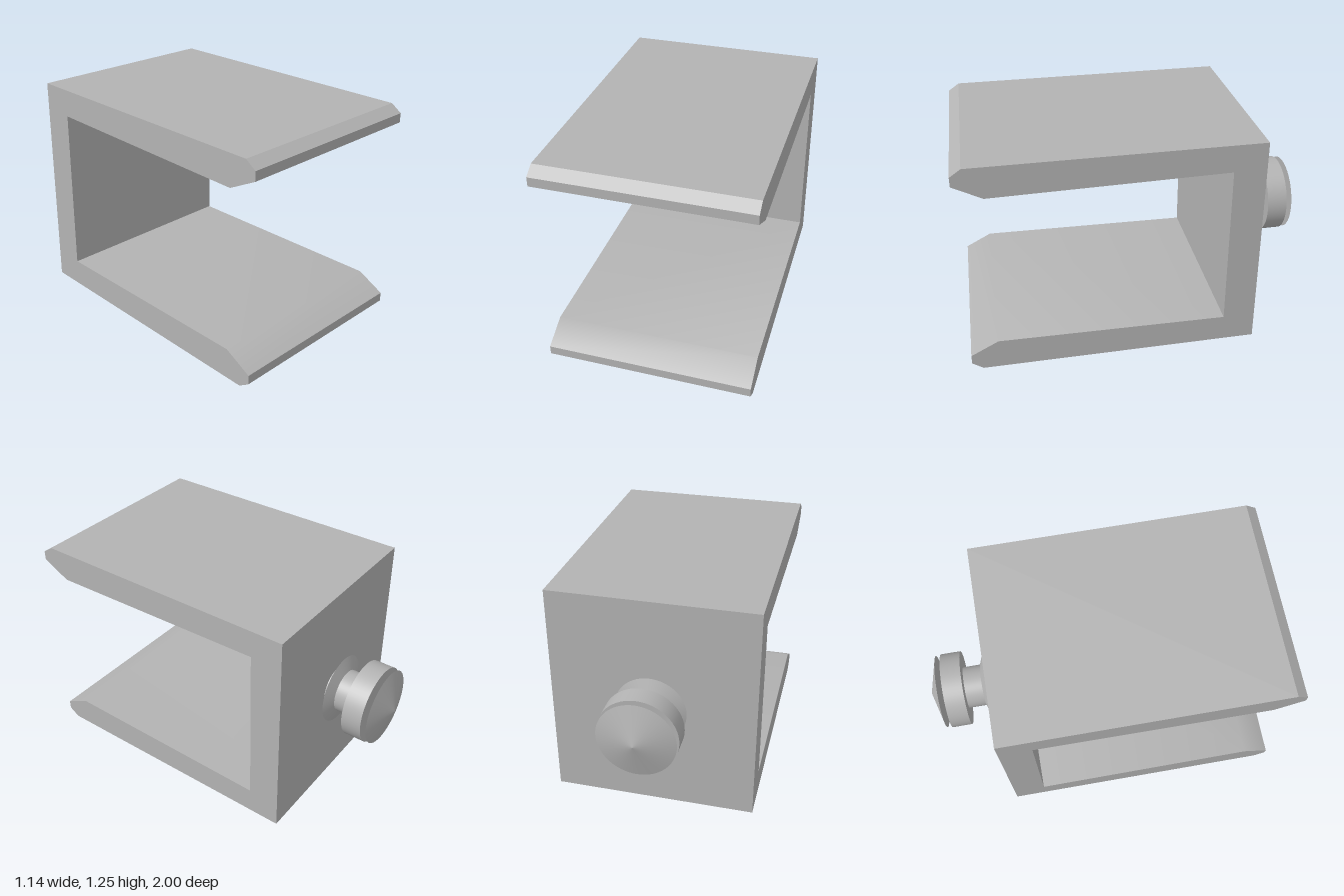
import * as THREE from 'three';
import { toCreasedNormals } from 'three/addons/utils/BufferGeometryUtils.js';

export function createModel() {
  const model = new THREE.Group();
  model.name = 'clampBracket';
  const grey = new THREE.MeshStandardMaterial({ color: 0xb3b3b3 });
  grey.name = 'light grey';

  const add = (name, geometry) => {
    const mesh = new THREE.Mesh(geometry, grey);
    mesh.name = name;
    model.add(mesh);
  };

  // U-shaped jaw: side profile as [z, y], mirrored about the middle height
  const width = 1.138, height = 1.253, axisY = height / 2;
  const lower = [
    [-0.627, 0], [0.94, 0], [1, 0.042], [1, 0.094], [0.845, 0.175], [-0.445, 0.155],
  ];
  const upper = lower.map(([z, y]) => [z, height - y]).reverse();
  const profile = new THREE.Shape([...lower, ...upper].map(([z, y]) => new THREE.Vector2(z, y)));
  const jaw = new THREE.ExtrudeGeometry(profile, { depth: width, bevelEnabled: false });
  jaw.translate(0, 0, -width / 2).rotateY(-Math.PI / 2);
  add('jaw', toCreasedNormals(jaw, THREE.MathUtils.degToRad(30)));

  // Round parts on the back, each running from z0 (radius r0) back to z1 (radius r1)
  const addRound = (name, z0, r0, z1, r1) => {
    const round = new THREE.CylinderGeometry(r1, r0, z0 - z1, 64);
    round.rotateX(-Math.PI / 2).translate(0, axisY, (z0 + z1) / 2);
    add(name, round);
  };
  addRound('shaft', -0.62, 0.122, -0.795, 0.122);
  addRound('collar', -0.663, 0.198, -0.692, 0.12);
  addRound('knobDisc', -0.793, 0.219, -0.908, 0.219);
  addRound('knobCap', -0.939, 0.214, -1, 0);

  return model;
}
